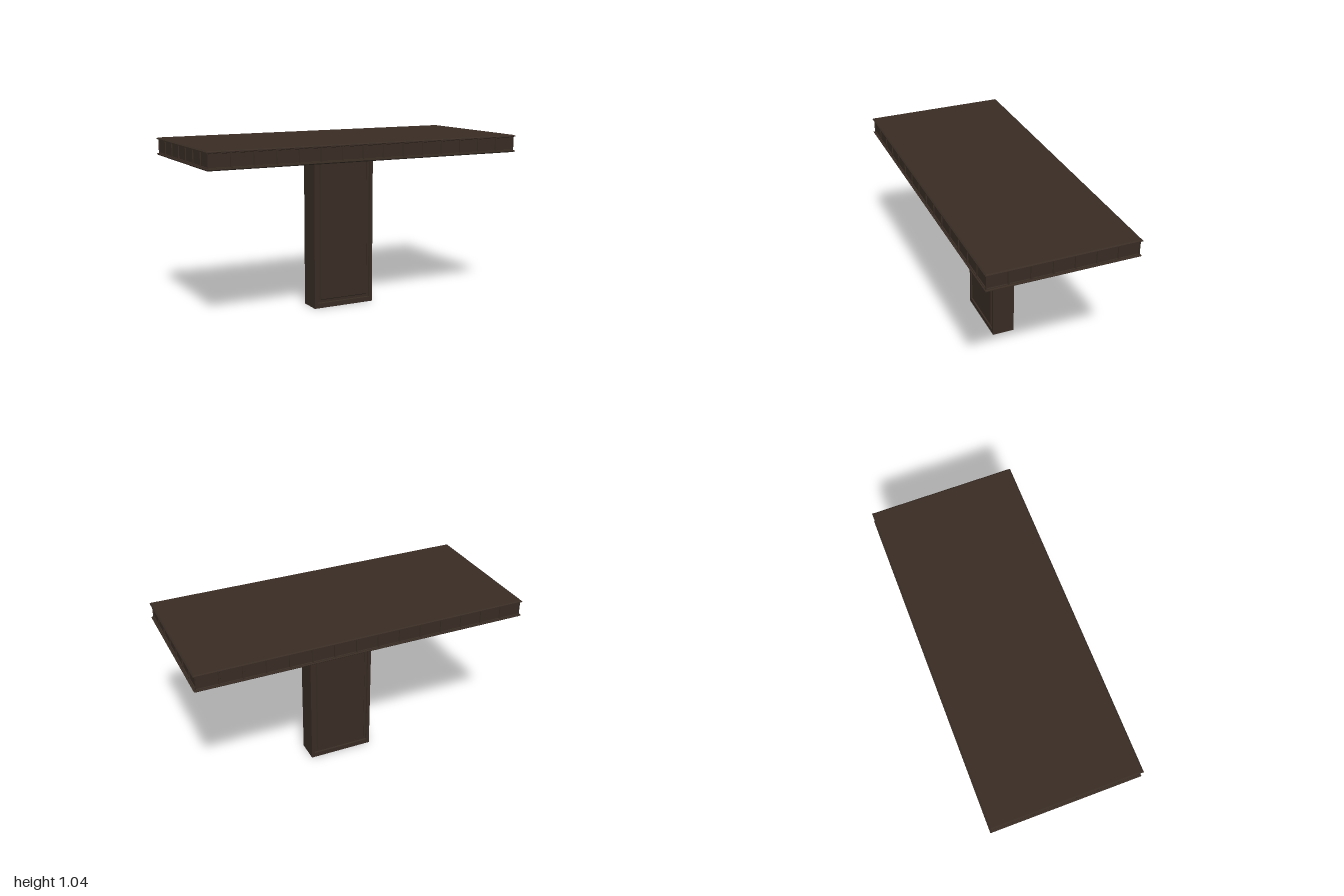
import * as THREE from 'three';

const wood = new THREE.MeshStandardMaterial({ color: 0x382c24, flatShading: true });

// Surface through nested rectangles [halfWidth, halfHeight, z], closed by a flat cap facing +z
function steppedPanel(rects) {
  const pos = [];
  const corners = ([w, h, z]) => [[-w, -h, z], [w, -h, z], [w, h, z], [-w, h, z]];
  const quad = (a, b, c, d) => pos.push(...a, ...b, ...c, ...a, ...c, ...d);
  for (let i = 0; i < rects.length - 1; i++) {
    const a = corners(rects[i]), b = corners(rects[i + 1]);
    for (let k = 0; k < 4; k++) {
      const n = (k + 1) % 4;
      quad(a[k], a[n], b[n], b[k]);
    }
  }
  quad(...corners(rects[rects.length - 1]));
  const g = new THREE.BufferGeometry();
  g.setAttribute('position', new THREE.Float32BufferAttribute(pos, 3));
  g.computeVertexNormals();
  return g;
}

function addPart(parent, name, geometry) {
  const mesh = new THREE.Mesh(geometry, wood);
  mesh.name = name;
  parent.add(mesh);
  return mesh;
}

export function createModel() {
  const table = new THREE.Group();
  table.name = 'pedestalTable';
  const midY = 0.9875, wallX = 0.99, wallZ = 0.43, wallHalf = 0.041;

  // Top and underside, each with a slightly projecting chamfered rim
  const lid = steppedPanel([
    [wallX, wallZ, wallHalf], [1, 0.437, 0.043], [1, 0.437, 0.047], [0.992, 0.43, 0.0525],
  ]);
  for (const side of [1, -1]) {
    const mesh = addPart(table, side > 0 ? 'tableTop' : 'tableUnderside', lid);
    mesh.position.y = midY;
    mesh.rotation.x = -side * Math.PI / 2;
  }

  // Rows of small sunken panels around the edge
  const edges = [
    ['frontEdge', 0, wallX, wallZ, 15],
    ['leftEdge', Math.PI / 2, wallZ, wallX, 7],
    ['backEdge', Math.PI, wallX, wallZ, 15],
    ['rightEdge', -Math.PI / 2, wallZ, wallX, 7],
  ];
  for (const [name, angle, half, distance, count] of edges) {
    const edge = new THREE.Group();
    edge.name = name;
    edge.position.y = midY;
    edge.rotation.y = angle;
    const pitch = 2 * half / count;
    const cell = steppedPanel([
      [pitch / 2, wallHalf, 0],
      [pitch / 2 - 0.004, wallHalf - 0.003, 0],
      [pitch / 2 - 0.006, wallHalf - 0.005, -0.006],
    ]);
    for (let i = 0; i < count; i++) {
      addPart(edge, 'edgePanel', cell).position.set((i + 0.5) * pitch - half, 0, distance);
    }
    table.add(edge);
  }

  // Pedestal in two mirrored halves, each with a moulded panel on its broad face
  const pedestal = new THREE.Group();
  pedestal.name = 'pedestal';
  pedestal.position.y = 0.47;
  const halfPedestal = steppedPanel([
    [0.2, 0.47, 0], [0.2, 0.47, 0.07],
    [0.18, 0.44, 0.07], [0.177, 0.437, 0.061],
    [0.163, 0.422, 0.061], [0.157, 0.416, 0.07],
  ]);
  addPart(pedestal, 'pedestalFront', halfPedestal);
  addPart(pedestal, 'pedestalBack', halfPedestal).rotation.y = Math.PI;
  table.add(pedestal);

  return table;
}
